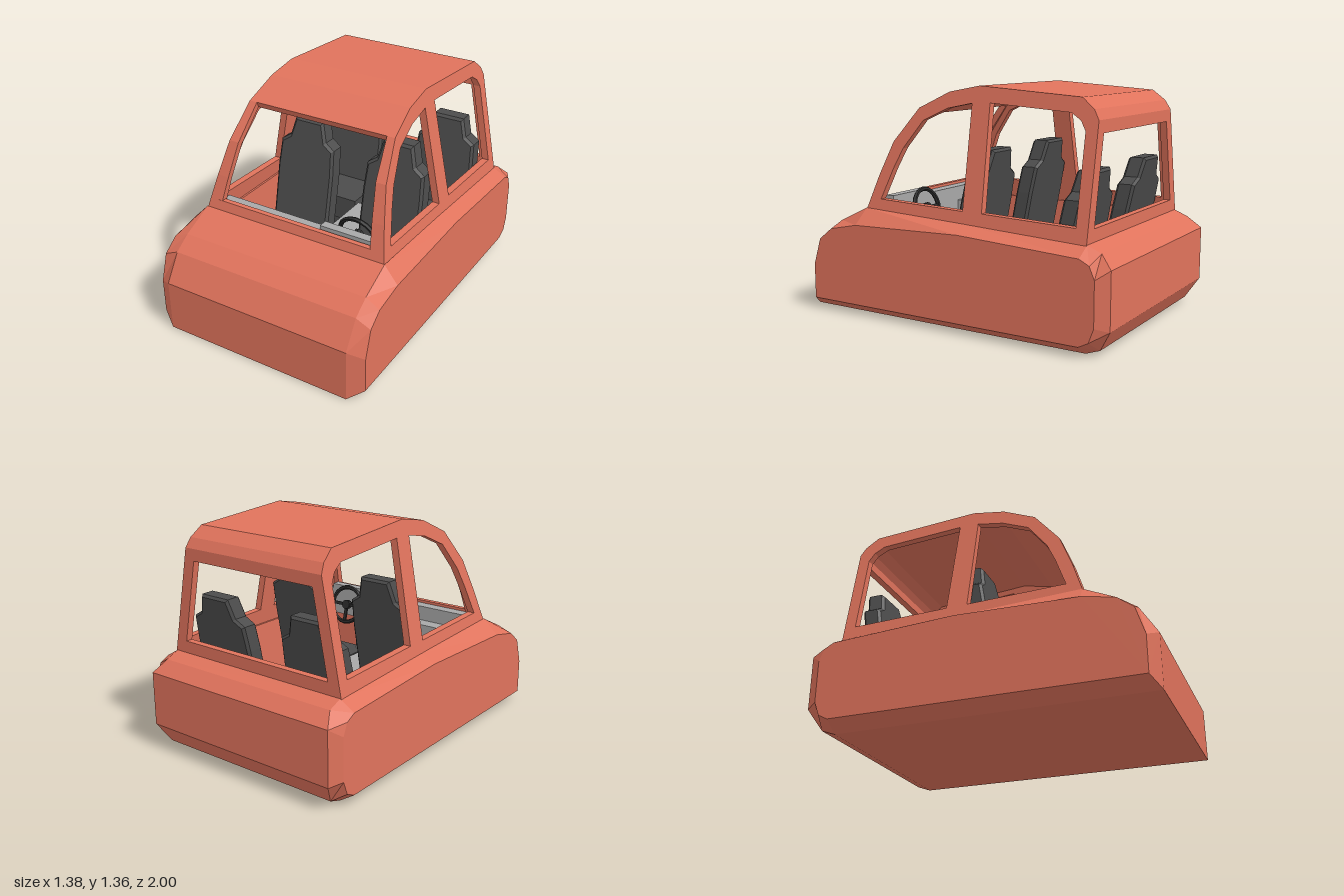
import * as THREE from 'three';

const mat = (color) => new THREE.MeshStandardMaterial({ color, flatShading: true });
const paint = mat(0xe0735c), dark = mat(0x4c4c4c), grey = mat(0xa8a8a8), rubber = mat(0x2a2a2a);

// Half width of the tapered cabin at height y
const half = (y) => 0.595 - 0.194 * (y - 0.633);

function add(parent, name, geometry, material, x = 0, y = 0, z = 0) {
  const mesh = new THREE.Mesh(geometry, material);
  mesh.name = name;
  mesh.position.set(x, y, z);
  parent.add(mesh);
  return mesh;
}

// Box given by its lower and upper corners
function block(parent, name, material, [x0, y0, z0], [x1, y1, z1]) {
  return add(parent, name, new THREE.BoxGeometry(x1 - x0, y1 - y0, z1 - z0), material,
    (x0 + x1) / 2, (y0 + y1) / 2, (z0 + z1) / 2);
}

const toPoints = (list) => list.map(([a, b]) => new THREE.Vector2(a, b));

// Side profile of (z, y) points swept across x; across(u, y, z) gives x and must fall as u grows
function sweep(profile, across, holes = []) {
  const shape = new THREE.Shape(toPoints(profile));
  holes.forEach((h) => shape.holes.push(new THREE.Path(toPoints(h))));
  const g = new THREE.ExtrudeGeometry(shape, { depth: 1, bevelEnabled: false });
  const p = g.attributes.position;
  for (let i = 0; i < p.count; i++) {
    const z = p.getX(i), y = p.getY(i), u = p.getZ(i);
    p.setXYZ(i, across(u, y, z), y, z);
  }
  g.computeVertexNormals();
  return g;
}

// Wall of thickness t lying inset from the cabin side, on side s
const wall = (s, inset, t) => (u, y, z) =>
  s > 0 ? half(y) - inset - u * t(y, z) : -half(y) + inset + (1 - u) * t(y, z);
const fullWidth = (u, y) => (half(y) - 0.015) * (1 - 2 * u);

// Lower body: flat flanks and a wider centre joined by chamfers, open under the cabin
function bodyGeometry() {
  const centre = [[1, 0], [1, 0.31], [0.9, 0.47], [0.8, 0.54], [0.605, 0.633], [-0.1, 0.604], [-0.842, 0.574],
    [-0.925, 0.54], [-1, 0.47], [-1, 0.15], [-0.925, 0.03], [-0.842, 0]];
  const flank = [[0.95, 0.06], [0.95, 0.27], [0.9, 0.43], [0.81, 0.5], [0.62, 0.54], [-0.1, 0.56], [-0.842, 0.52],
    [-0.9, 0.49], [-0.93, 0.42], [-0.93, 0.17], [-0.9, 0.09], [-0.842, 0.06]];
  const n = centre.length;
  const ring = (list, s, w) => list.map(([z, y], i) => [s * w(i), y, z]);
  const wc = (i) => (i === 8 || i === 9 ? 0.645 : 0.6), wf = () => 0.69;
  const rings = [ring(flank, -1, wf), ring(centre, -1, wc), ring(centre, 1, wc), ring(flank, 1, wf)];
  const index = [];
  for (let r = 0; r < 3; r++) {
    for (let i = 0; i < n; i++) {
      if (r === 1 && (i === 4 || i === 5)) continue;
      const j = (i + 1) % n, a = r * n + i, b = a + n, c = (r + 1) * n + j, d = r * n + j;
      index.push(a, b, c, a, c, d);
    }
  }
  for (let i = 1; i < n - 1; i++) {
    index.push(0, i, i + 1, 3 * n, 3 * n + i + 1, 3 * n + i);
  }
  const g = new THREE.BufferGeometry();
  g.setAttribute('position', new THREE.Float32BufferAttribute(rings.flat(2), 3));
  g.setIndex(index);
  const flat = g.toNonIndexed();
  flat.computeVertexNormals();
  return flat;
}

// Seat with a leaning, shouldered backrest and a cushion
function seat(name, x, z, w, scale, length) {
  const g = new THREE.Group();
  g.name = name;
  const right = [[w, 0.25], [w, 0.68], [w * 0.95, 0.84], [w * 0.65, 0.88], [w * 0.49, 1.0]];
  const outline = [...right, ...right.map(([a, b]) => [-a, b]).reverse()].map(([a, b]) => [a, b * scale]);
  const back = new THREE.ExtrudeGeometry(new THREE.Shape(toPoints(outline)),
    { depth: 0.08, bevelEnabled: true, bevelThickness: 0.015, bevelSize: 0.015, bevelOffset: -0.015, bevelSegments: 1 });
  const p = back.attributes.position;
  for (let i = 0; i < p.count; i++) p.setZ(i, p.getZ(i) - 0.095 - 0.2 * (p.getY(i) - 0.68));
  back.computeVertexNormals();
  add(g, 'backrest', back, dark);
  block(g, 'cushion', dark, [-w, 0.2, -0.02], [w, 0.36, length]);
  block(g, 'seatBase', dark, [-w * 0.8, 0.08, 0], [w * 0.8, 0.2, length - 0.06]);
  g.position.set(x, 0, z);
  return g;
}

export function createModel() {
  const car = new THREE.Group();
  car.name = 'car';
  add(car, 'lowerBody', bodyGeometry(), paint);

  // Cabin sides with two windows each, plus the pillars framing front and rear openings
  const arch = [[0.605, 0.633], [0.54, 0.826], [0.46, 1.024], [0.3, 1.223], [0.1, 1.319], [-0.097, 1.357],
    [-0.735, 1.314], [-0.81, 1.255], [-0.842, 1.2]];
  const outline = [[0.625, 0.55], ...arch, [-0.842, 0.55]];
  const frontWindow = [[0.51, 0.69], [0.44, 0.874], [0.386, 0.99], [0.263, 1.153], [0.1, 1.228],
    [-0.059, 1.26], [-0.068, 0.672]];
  const rearWindow = [[-0.177, 1.265], [-0.68, 1.233], [-0.74, 1.195], [-0.772, 1.142], [-0.772, 0.652], [-0.193, 0.67]];
  const frontPillar = [[0.605, 0.633], [0.54, 0.826], [0.46, 1.024], [0.3, 1.223],
    [0.28, 1.185], [0.425, 1.0], [0.505, 0.81], [0.56, 0.633]];
  const rearPillar = [[-0.842, 0.56], [-0.8, 0.56], [-0.8, 1.19], [-0.842, 1.2]];
  for (const s of [1, -1]) {
    const side = new THREE.Group();
    side.name = s > 0 ? 'leftSide' : 'rightSide';
    car.add(side);
    add(side, 'windowFrame', sweep(outline, wall(s, 0, () => 0.045), [frontWindow, rearWindow]), paint);
    add(side, 'frontPillar', sweep(frontPillar, wall(s, 0.004, (y) => 0.085 - 0.065 * (y - 0.633))), paint);
    add(side, 'rearPillar', sweep(rearPillar, wall(s, 0.004, () => 0.07)), paint);
    block(side, 'innerWall', paint, [s > 0 ? 0.55 : -0.595, 0.06, -0.82], [s > 0 ? 0.595 : -0.55, 0.57, 0.6]);
  }

  // Roof shell and the panels below the windscreen and rear window
  add(car, 'roof', sweep([...arch.slice(3), [-0.842, 1.13], [-0.8, 1.13], [-0.8, 1.18], [-0.775, 1.22],
    [-0.72, 1.262], [-0.097, 1.305], [0.1, 1.265], [0.28, 1.185]], fullWidth), paint);
  add(car, 'cowl', sweep([[0.605, 0.08], [0.605, 0.633], [0.587, 0.687], [0.555, 0.687], [0.57, 0.08]], fullWidth), paint);
  add(car, 'rearPanel', sweep([[-0.842, 0.08], [-0.8, 0.08], [-0.8, 0.645], [-0.842, 0.645]], fullWidth), paint);
  block(car, 'floor', paint, [-0.56, 0.05, -0.82], [0.56, 0.08, 0.59]);

  // Dashboard and consoles
  block(car, 'dashboard', grey, [-0.53, 0.5, 0.485], [0.53, 0.67, 0.555]);
  block(car, 'instrumentHood', grey, [0.15, 0.67, 0.485], [0.5, 0.7, 0.54]);
  block(car, 'gloveShelf', grey, [-0.5, 0.4, 0.4], [-0.165, 0.58, 0.49]);
  block(car, 'centreConsole', grey, [-0.165, 0.08, 0.3], [0.165, 0.52, 0.49]);
  block(car, 'tunnel', grey, [-0.1, 0.08, -0.3], [0.1, 0.36, 0.3]);
  block(car, 'rearArmrest', dark, [-0.1, 0.08, -0.78], [0.1, 0.46, -0.4]);

  // Seats
  for (const s of [1, -1]) {
    const label = s > 0 ? 'Left' : 'Right';
    car.add(seat('front' + label + 'Seat', s * 0.31, 0.01, 0.2, 1, 0.34));
    car.add(seat('rear' + label + 'Seat', s * 0.33, -0.64, 0.205, 0.93, 0.34));
  }

  // Steering wheel
  const wheel = new THREE.Group();
  wheel.name = 'steeringWheel';
  add(wheel, 'rim', new THREE.TorusGeometry(0.115, 0.014, 6, 20), rubber);
  add(wheel, 'hub', new THREE.CylinderGeometry(0.03, 0.03, 0.03, 10).rotateX(Math.PI / 2), rubber);
  for (let k = 0; k < 3; k++) {
    const a = Math.PI + k * Math.PI / 2;
    const spoke = add(wheel, 'spoke', new THREE.BoxGeometry(0.1, 0.02, 0.012), rubber,
      0.06 * Math.cos(a), 0.06 * Math.sin(a), 0);
    spoke.rotation.z = a;
  }
  add(wheel, 'column', new THREE.CylinderGeometry(0.018, 0.018, 0.14, 8).rotateX(Math.PI / 2), rubber, 0, 0, 0.07);
  wheel.position.set(0.305, 0.61, 0.385);
  wheel.rotation.x = 0.25;
  car.add(wheel);
  return car;
}
